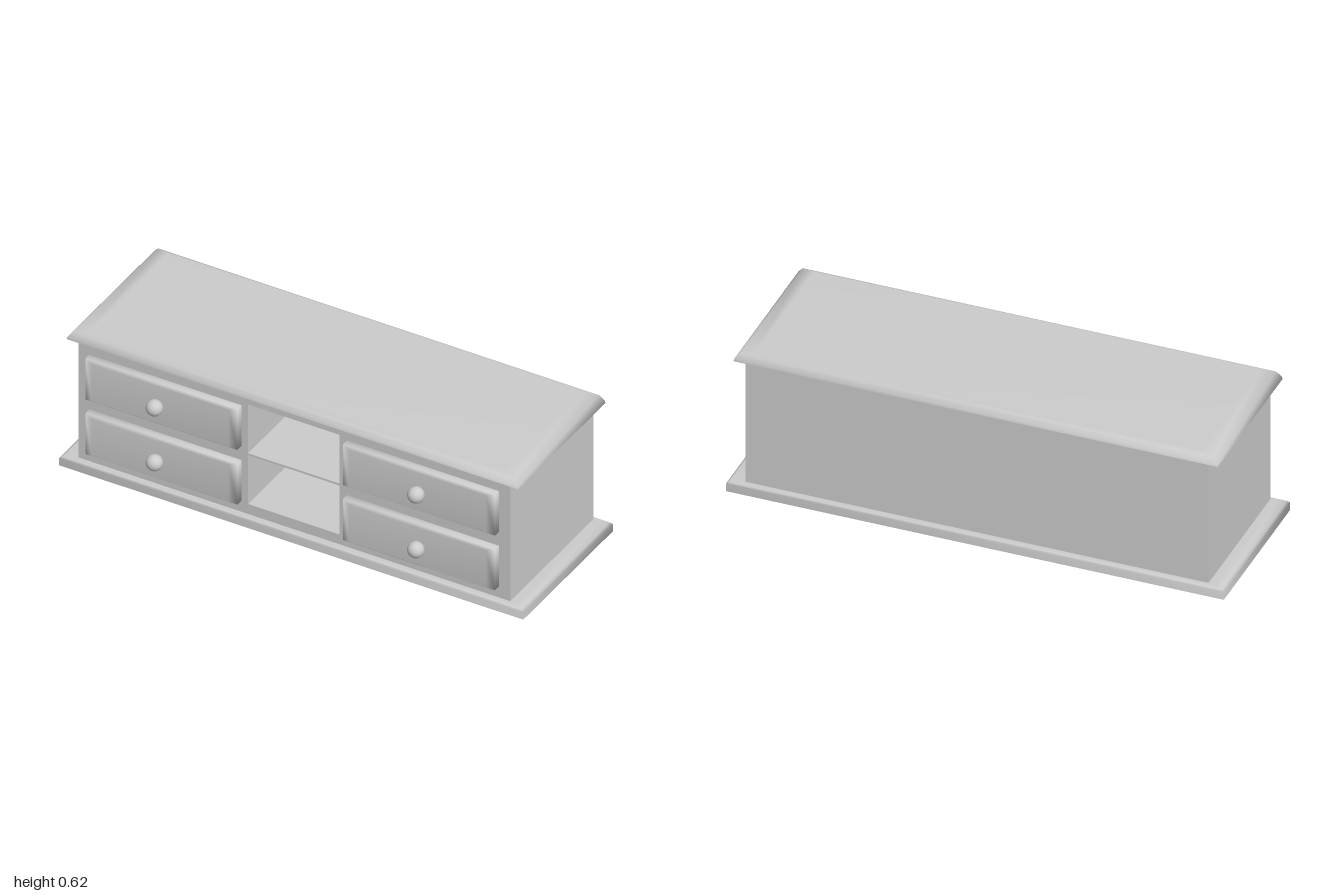
import * as THREE from 'three';

const material = new THREE.MeshStandardMaterial({ color: 0xcccccc });

function addMesh(parent, name, geometry, x = 0, y = 0, z = 0) {
  const mesh = new THREE.Mesh(geometry, material);
  mesh.name = name;
  mesh.position.set(x, y, z);
  parent.add(mesh);
  return mesh;
}

// Rectangular board stacked along +z; each step is [height, insetX, insetY].
// Steps share vertices, so the moulded edge shades softly; the back stays flat.
function mouldedBoard(width, depth, steps) {
  const pos = [];
  const idx = [];
  const ring = ([h, ix, iy]) => {
    const a = width / 2 - ix;
    const b = depth / 2 - iy;
    pos.push(-a, -b, h, a, -b, h, a, b, h, -a, b, h);
  };
  steps.forEach(ring);
  for (let s = 0; s < steps.length - 1; s++) {
    for (let k = 0; k < 4; k++) {
      const a = s * 4 + k;
      const b = s * 4 + (k + 1) % 4;
      idx.push(a, b, b + 4, a, b + 4, a + 4);
    }
  }
  const t = (steps.length - 1) * 4;
  idx.push(t, t + 1, t + 2, t, t + 2, t + 3);
  ring(steps[0]);
  const u = t + 4;
  idx.push(u, u + 2, u + 1, u, u + 3, u + 2);
  const geometry = new THREE.BufferGeometry();
  geometry.setAttribute('position', new THREE.Float32BufferAttribute(pos, 3));
  geometry.setIndex(idx);
  geometry.computeVertexNormals();
  return geometry;
}

function rectangle(path, x0, y0, x1, y1) {
  path.moveTo(x0, y0);
  path.lineTo(x1, y0);
  path.lineTo(x1, y1);
  path.lineTo(x0, y1);
  path.closePath();
  return path;
}

export function createModel() {
  const group = new THREE.Group();
  group.name = 'drawerCabinet';
  const back = -0.342, front = 0.276, nicheBack = -0.05;
  const niches = [[-0.2, 0.09, 0.195, 0.312], [-0.2, 0.321, 0.195, 0.543]];

  // Carcass with two open niches in the middle
  const outline = rectangle(new THREE.Shape(), -0.93, 0.04, 0.93, 0.585);
  niches.forEach(n => outline.holes.push(rectangle(new THREE.Path(), ...n)));
  addMesh(group, 'carcass', new THREE.ExtrudeGeometry(outline, {
    depth: front - back, bevelEnabled: false,
  }), 0, 0, back);
  for (const [x0, y0, x1, y1] of niches) {
    addMesh(group, 'nicheBack', new THREE.BoxGeometry(x1 - x0, y1 - y0, nicheBack - back),
      (x0 + x1) / 2, (y0 + y1) / 2, (nicheBack + back) / 2);
  }

  // Moulded base and top boards
  const base = addMesh(group, 'baseBoard', mouldedBoard(2, 0.665, [
    [0, 0, 0], [0.033, 0, 0], [0.04, 0.012, 0.005], [0.045, 0.045, 0.017],
  ]), 0, 0, -0.032);
  const top = addMesh(group, 'topBoard', mouldedBoard(1.945, 0.65, [
    [0, 0, 0], [0.01, 0.002, 0.001], [0.033, 0.022, 0.009], [0.041, 0.075, 0.028],
  ]), 0, 0.579, -0.032);
  base.rotation.x = top.rotation.x = -Math.PI / 2;

  // Four bevelled drawers with round knobs
  const drawerFront = mouldedBoard(0.655, 0.186, [
    [0, 0, 0], [0.029, 0, 0], [0.039, 0.033, 0.009],
  ]);
  const knob = new THREE.SphereGeometry(0.033, 32, 20);
  for (const [x, knobX] of [[-0.557, -0.57], [0.553, 0.557]]) {
    for (const y of [0.187, 0.436]) {
      const drawer = new THREE.Group();
      drawer.name = 'drawer';
      group.add(drawer);
      addMesh(drawer, 'drawerFront', drawerFront, x, y, front);
      addMesh(drawer, 'knob', knob, knobX, y - 0.003, 0.334);
    }
  }
  return group;
}
